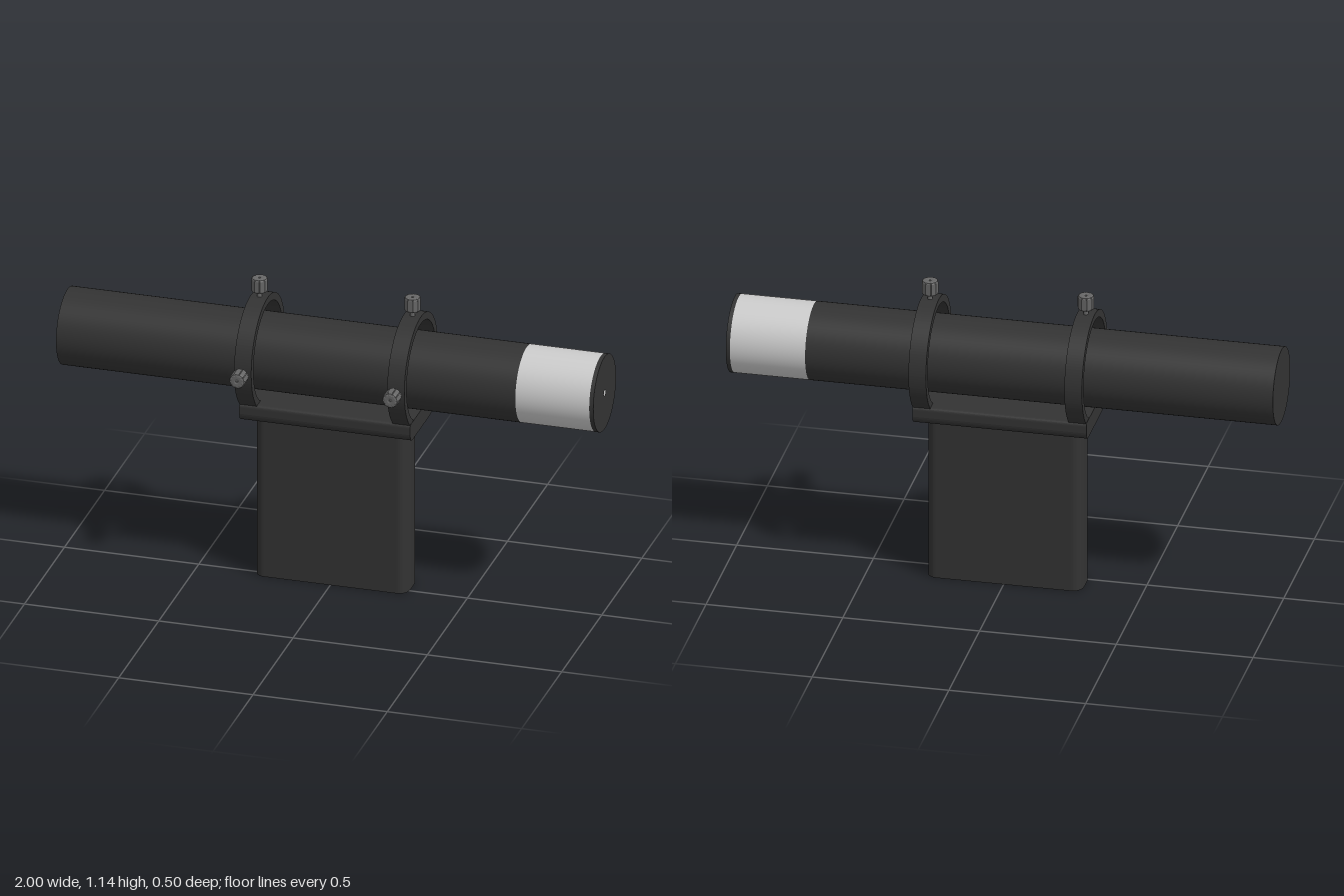
import * as THREE from 'three';

const mat = (color) => new THREE.MeshStandardMaterial({ color });
const dark = mat(0x333333);
const pale = mat(0xcccccc);
const metal = mat(0x666666);
const AXIS_Y = 0.858, AXIS_Z = -0.036, R = 0.142;

function add(parent, name, geometry, material) {
  const mesh = new THREE.Mesh(geometry, material);
  mesh.name = name;
  parent.add(mesh);
  return mesh;
}

// Smooth tube wall along x, with optional end caps
function tubeSection(parent, name, x0, x1, material, open) {
  const g = new THREE.CylinderGeometry(R, R, x1 - x0, 64, 1, open);
  const m = add(parent, name, g.rotateZ(-Math.PI / 2), material);
  m.position.x = (x0 + x1) / 2;
  return m;
}

// Extrusion running along x; shape coordinates are (z, y)
function extrudeAlongX(shape, x0, x1) {
  const g = new THREE.ExtrudeGeometry(shape, { depth: x1 - x0, bevelEnabled: false, curveSegments: 48 });
  return g.rotateY(Math.PI / 2).scale(1, 1, -1).translate(x0, 0, 0);
}

// Thumbscrew pointing up +y, origin on the tube axis
function thumbScrew() {
  const screw = new THREE.Group();
  screw.name = 'thumbScrew';
  const shank = add(screw, 'screwShank', new THREE.CylinderGeometry(0.009, 0.009, 0.1, 16), metal);
  shank.position.y = 0.19;
  // Fluted knob
  const pts = [];
  for (let i = 0; i < 10; i++) {
    const a = (i / 10) * Math.PI * 2;
    for (const [d, r] of [[-0.2, 0.021], [-0.12, 0.0185], [0.12, 0.0185], [0.2, 0.021]]) {
      pts.push(new THREE.Vector2(Math.cos(a + d) * r, Math.sin(a + d) * r));
    }
  }
  const head = new THREE.Shape(pts);
  head.holes.push(new THREE.Path().absarc(0, 0, 0.01, 0, Math.PI * 2, true));
  const knob = new THREE.ExtrudeGeometry(head, {
    depth: 0.04, bevelThickness: 0.008, bevelSize: 0.008, bevelSegments: 2, curveSegments: 12,
  });
  knob.rotateX(-Math.PI / 2);
  add(screw, 'knob', knob, metal).position.y = 0.237;
  // Screw end filling the knob's middle
  add(screw, 'knobCore', new THREE.CylinderGeometry(0.011, 0.011, 0.05, 16), metal).position.y = 0.255;
  return screw;
}

export function createModel() {
  const model = new THREE.Group();
  model.name = 'finderTube';

  // Tube, pale front band and drilled end cap
  const tube = new THREE.Group();
  tube.name = 'tube';
  tube.position.set(0, AXIS_Y, AXIS_Z);
  model.add(tube);
  tubeSection(tube, 'tubeBody', -1, 0.71, dark, false);
  tubeSection(tube, 'paleBand', 0.71, 0.985, pale, false);
  tubeSection(tube, 'capRim', 0.985, 1, dark, true);
  const capFace = new THREE.RingGeometry(0.011, R, 64).rotateY(Math.PI / 2);
  add(tube, 'capFace', capFace, dark).position.x = 1;

  // Mounting rings, each with a top and a front thumbscrew
  const ringShape = new THREE.Shape().absarc(0, 0, 0.21, 0, Math.PI * 2, false);
  ringShape.holes.push(new THREE.Path().absarc(0, 0, 0.182, 0, Math.PI * 2, true));
  for (const x of [-0.285, 0.285]) {
    const mount = new THREE.Group();
    mount.name = 'ringMount';
    mount.position.set(x, AXIS_Y, AXIS_Z);
    model.add(mount);
    const ring = new THREE.ExtrudeGeometry(ringShape, { depth: 0.064, bevelEnabled: false, curveSegments: 64 });
    add(mount, 'ring', ring.translate(0, 0, -0.032).rotateY(Math.PI / 2), dark);
    const front = thumbScrew();
    front.rotation.x = Math.PI / 2;
    mount.add(thumbScrew(), front);
  }

  // Saddle bar under the rings, with rounded lower edges
  const s = new THREE.Shape();
  s.moveTo(-0.128, 0.702);
  s.lineTo(0.128, 0.702);
  s.quadraticCurveTo(0.142, 0.702, 0.142, 0.688);
  s.lineTo(0.142, 0.664);
  s.quadraticCurveTo(0.138, 0.632, 0.105, 0.632);
  s.lineTo(-0.105, 0.632);
  s.quadraticCurveTo(-0.138, 0.632, -0.142, 0.664);
  s.lineTo(-0.142, 0.688);
  s.quadraticCurveTo(-0.142, 0.702, -0.128, 0.702);
  const saddle = new THREE.ExtrudeGeometry(s, { depth: 0.636, bevelEnabled: false, curveSegments: 8 });
  saddle.translate(0, 0, -0.318).rotateY(Math.PI / 2);
  add(model, 'saddle', saddle, dark).position.z = AXIS_Z;

  // Broad foot with rounded ends
  const w = 0.285, d = 0.071, cx = 0.04, cz = 0.055;
  const f = new THREE.Shape();
  f.moveTo(-w + cx, -d);
  f.lineTo(w - cx, -d);
  f.quadraticCurveTo(w, -d, w, -d + cz);
  f.lineTo(w, d - cz);
  f.quadraticCurveTo(w, d, w - cx, d);
  f.lineTo(-w + cx, d);
  f.quadraticCurveTo(-w, d, -w, d - cz);
  f.lineTo(-w, -d + cz);
  f.quadraticCurveTo(-w, -d, -w + cx, -d);
  const foot = new THREE.ExtrudeGeometry(f, { depth: 0.64, bevelEnabled: false, curveSegments: 10 });
  add(model, 'foot', foot.rotateX(-Math.PI / 2), dark).position.z = AXIS_Z;

  return model;
}
